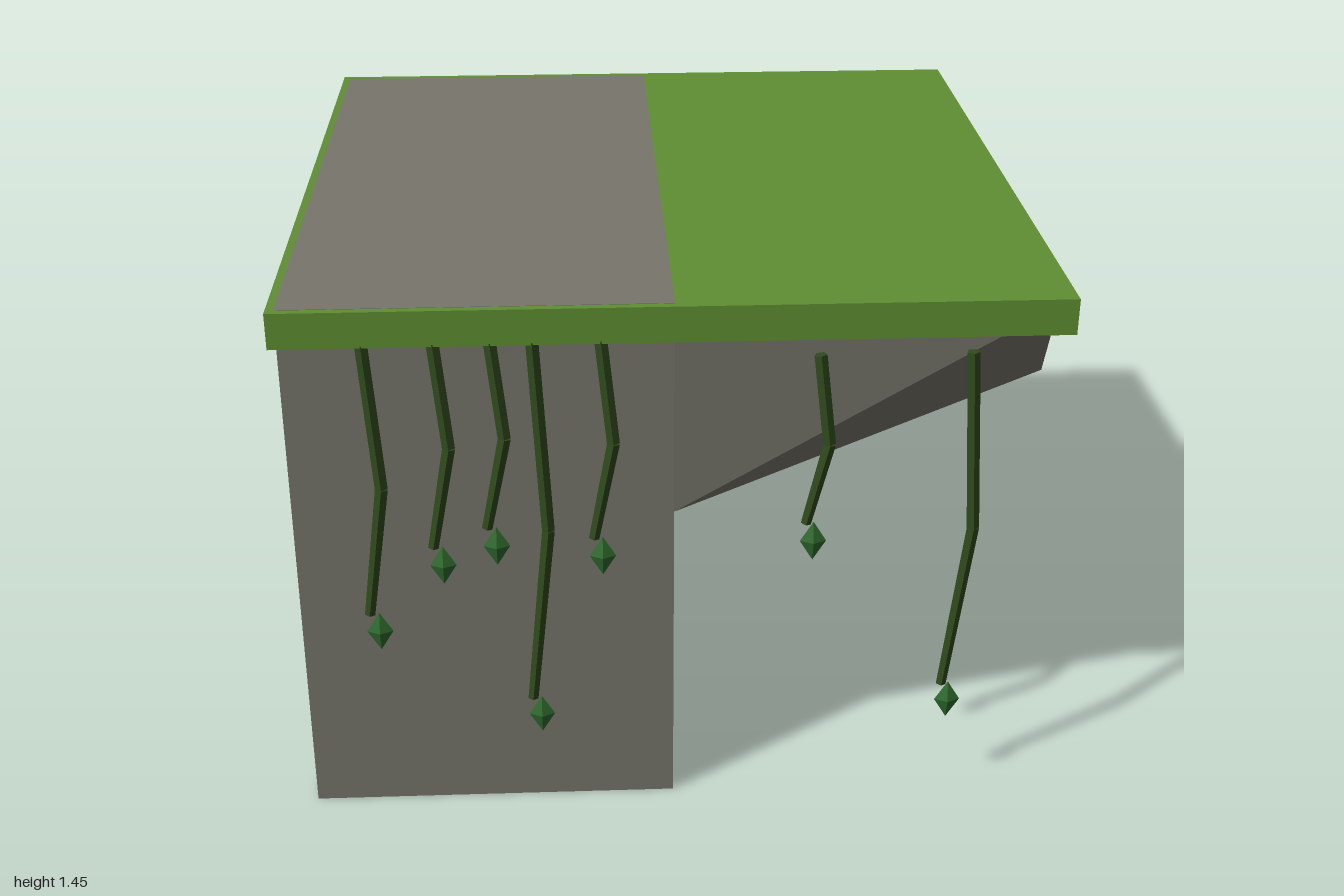
import * as THREE from 'three';

const material = (color, extra = {}) =>
  new THREE.MeshStandardMaterial({ color, flatShading: true, ...extra });

function addMesh(parent, name, geometry, mat) {
  const mesh = new THREE.Mesh(geometry, mat);
  mesh.name = name;
  parent.add(mesh);
  return mesh;
}

// Box given by its lower and upper corners
function boxBetween(a, b) {
  const size = a.map((v, i) => b[i] - v);
  const mid = a.map((v, i) => (b[i] + v) / 2);
  return new THREE.BoxGeometry(...size).translate(...mid);
}

// Tapered wedge: a large section against the block, a small one at the tip
function overhangGeometry() {
  const corners = [
    [0, 0.872, 0.96], [0, 0.872, -0.975], [0, 1.39, -0.975], [0, 1.39, 0.96],
    [0.965, 1.163, 0.77], [0.965, 1.163, -0.78], [0.965, 1.39, -0.885], [0.965, 1.39, 0.88],
  ];
  const faces = [
    0, 1, 5, 0, 5, 4, // underside
    0, 4, 7, 0, 7, 3, // front
    1, 6, 5, 1, 2, 6, // back
    4, 5, 6, 4, 6, 7, // tip
    3, 7, 6, 3, 6, 2, // top
  ];
  const geometry = new THREE.BufferGeometry();
  geometry.setAttribute('position', new THREE.Float32BufferAttribute(corners.flat(), 3));
  geometry.setIndex(faces);
  const flat = geometry.toNonIndexed();
  flat.computeVertexNormals();
  return flat;
}

// Five-sided stem between two points
function stemGeometry(from, to, topRadius, bottomRadius) {
  const dir = from.clone().sub(to);
  const geometry = new THREE.CylinderGeometry(topRadius, bottomRadius, dir.length(), 5);
  const turn = new THREE.Quaternion().setFromUnitVectors(new THREE.Vector3(0, 1, 0), dir.normalize());
  geometry.applyQuaternion(turn);
  const mid = from.clone().add(to).multiplyScalar(0.5);
  return geometry.translate(mid.x, mid.y, mid.z);
}

export function createModel() {
  const model = new THREE.Group();
  model.name = 'mossyLedge';
  const rock = material(0x77756b);
  const moss = material(0x5f8f33);
  const vineMat = material(0x2f4a1c);
  const leafMat = material(0x2f6b2d);

  // Rock block, its bare top just showing through the moss
  addMesh(model, 'rockBlock', boxBetween([-0.97, 0, -0.975], [0, 1.451, 0.96]), rock);
  addMesh(model, 'rockOverhang', overhangGeometry(), rock);
  addMesh(model, 'mossSlab', boxBetween([-0.99, 1.355, -1], [0.99, 1.45, 0.98]), moss);

  // Hanging vines: x, top, bend and bottom heights
  const vines = [
    [-0.765, 1.36, 0.97, 0.6],
    [-0.592, 1.36, 1.08, 0.795],
    [-0.453, 1.36, 1.105, 0.848],
    [-0.35, 1.36, 0.84, 0.328],
    [-0.182, 1.36, 1.085, 0.812],
    [0.36, 1.308, 1.07, 0.842],
    [0.74, 1.308, 0.82, 0.34],
  ];
  for (const [x, top, bend, bottom] of vines) {
    const vine = new THREE.Group();
    vine.name = 'vine';
    const a = new THREE.Vector3(x, top, 0.964);
    const b = new THREE.Vector3(x + 0.028, bend, 0.983);
    const c = new THREE.Vector3(x - 0.024, bottom, 0.98);
    addMesh(vine, 'upperStem', stemGeometry(a, b, 0.017, 0.017), vineMat);
    addMesh(vine, 'lowerStem', stemGeometry(b, c, 0.017, 0.014), vineMat);
    // Flattened diamond leaf under the stem
    const leaf = addMesh(vine, 'leaf', new THREE.OctahedronGeometry(1), leafMat);
    leaf.scale.set(0.034, 0.056, 0.017);
    leaf.position.set(x - 0.002, bottom - 0.058, 0.972);
    model.add(vine);
  }
  return model;
}
